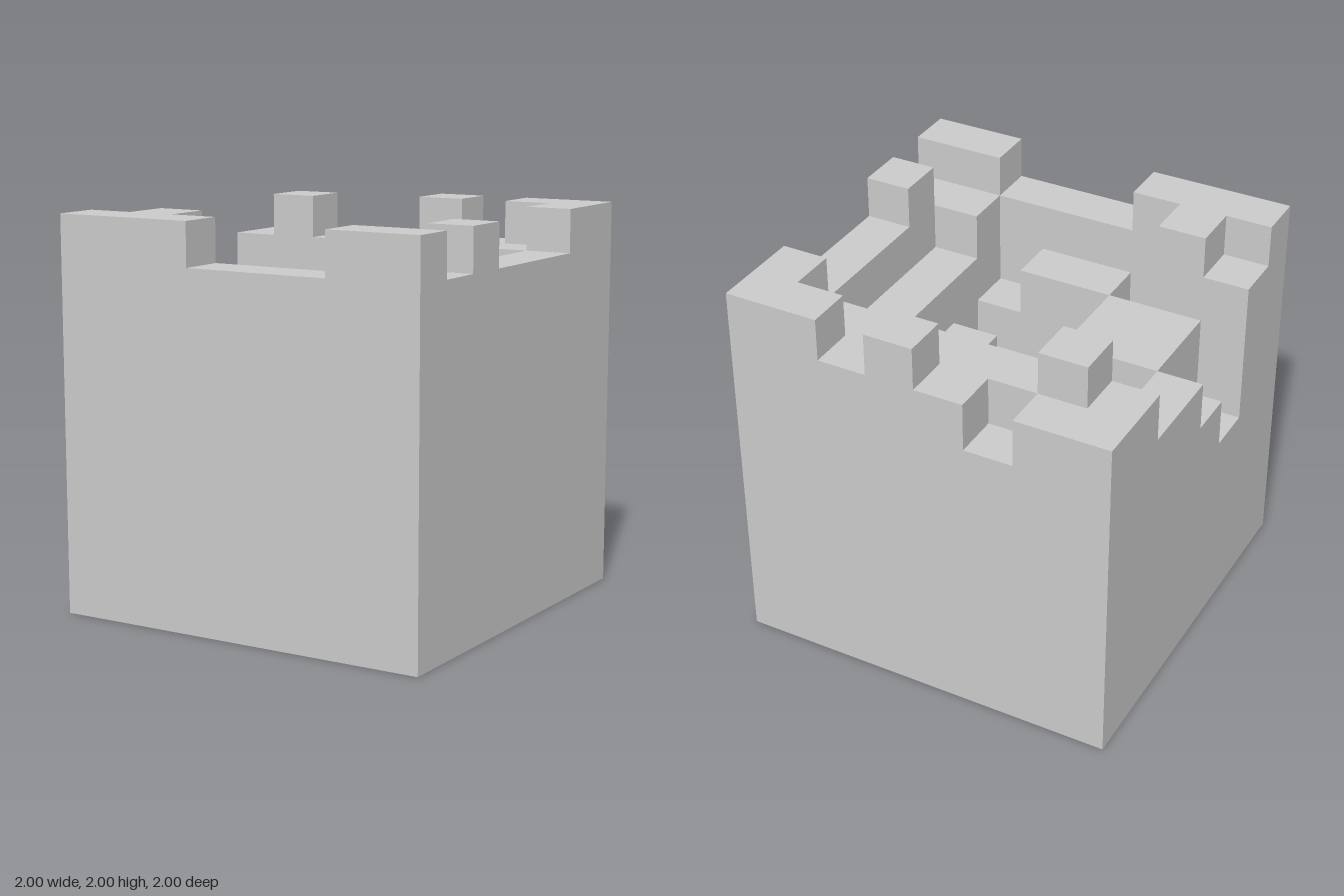
import * as THREE from 'three';

// Column edges (used for both x and z) and the height of each terrace level
const EDGES = [-1, -0.76, -0.51, -0.255, 0, 0.255, 0.51, 0.76, 1];
const LEVELS = [0, 0.26, 0.51, 0.77, 1.02, 1.275, 1.53, 1.78, 2];

// Terrace level of every column, back row first, -x to +x
const MAP = [
  '77678788',
  '78777778',
  '65534667',
  '65544467',
  '56644567',
  '46644468',
  '78566577',
  '88877788',
];

const heightAt = (row, col) => LEVELS[Number(MAP[row]?.[col] ?? 0)];

export function createModel() {
  const positions = [];
  // Corners run counter-clockwise as seen from outside
  const quad = (a, b, c, d) => positions.push(...a, ...b, ...c, ...a, ...c, ...d);

  for (let r = 0; r < 8; r++) {
    for (let c = 0; c < 8; c++) {
      const [x0, x1, z0, z1] = [EDGES[c], EDGES[c + 1], EDGES[r], EDGES[r + 1]];
      const h = heightAt(r, c);
      // Column top
      quad([x0, h, z1], [x1, h, z1], [x1, h, z0], [x0, h, z0]);
      // Exposed walls down to each lower neighbour
      const wall = (ax, az, bx, bz, low) => {
        if (low < h) quad([ax, low, az], [bx, low, bz], [bx, h, bz], [ax, h, az]);
      };
      wall(x0, z1, x1, z1, heightAt(r + 1, c));
      wall(x1, z0, x0, z0, heightAt(r - 1, c));
      wall(x1, z1, x1, z0, heightAt(r, c + 1));
      wall(x0, z0, x0, z1, heightAt(r, c - 1));
    }
  }
  // Flat underside
  quad([-1, 0, -1], [1, 0, -1], [1, 0, 1], [-1, 0, 1]);

  const geometry = new THREE.BufferGeometry();
  geometry.setAttribute('position', new THREE.Float32BufferAttribute(positions, 3));
  geometry.computeVertexNormals();

  const block = new THREE.Mesh(
    geometry,
    new THREE.MeshStandardMaterial({ color: 0xcccccc, flatShading: true }),
  );
  block.name = 'terracedBlock';

  const group = new THREE.Group();
  group.name = 'steppedCube';
  group.add(block);
  return group;
}
